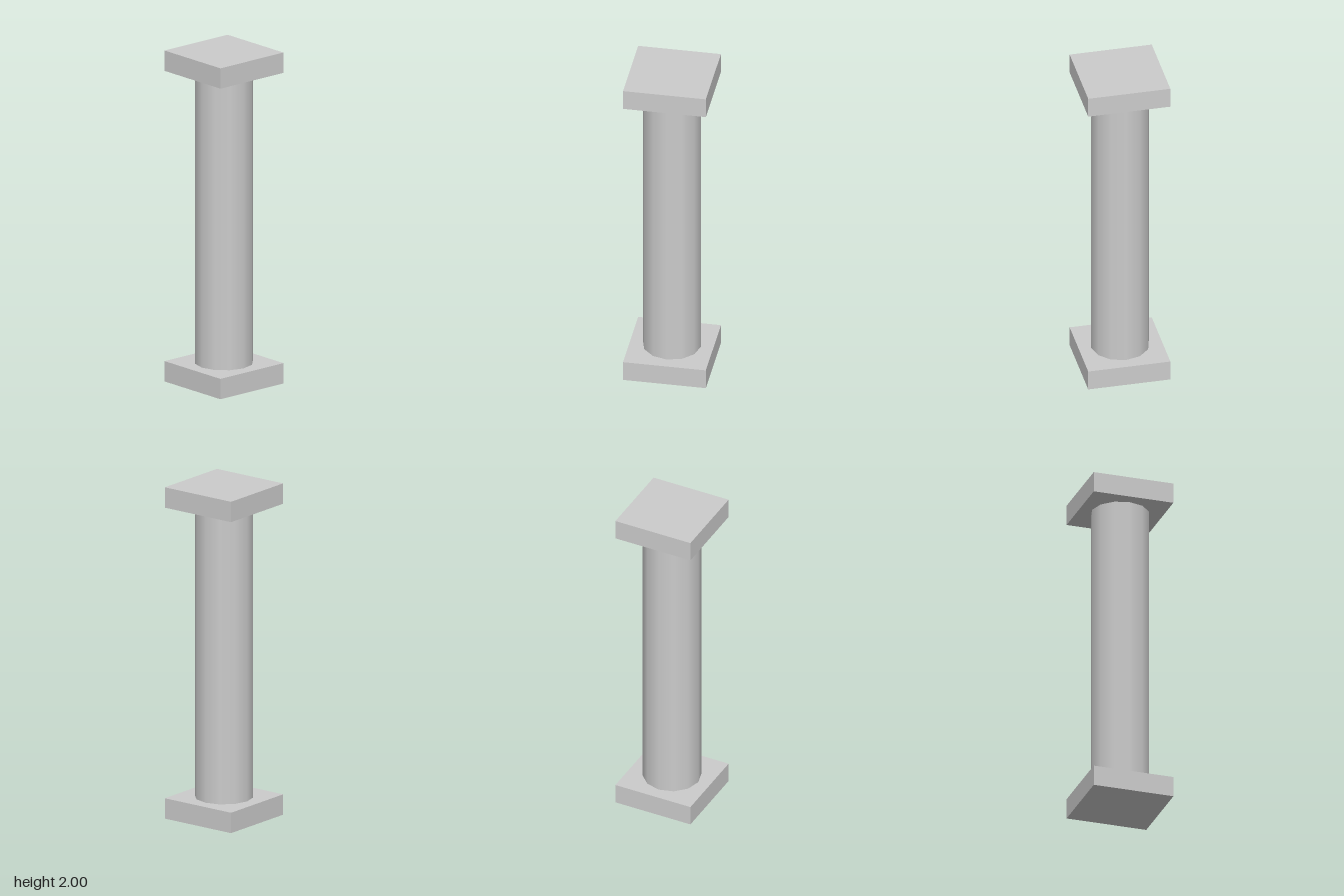
import * as THREE from 'three';

export function createModel() {
  const group = new THREE.Group();
  const material = new THREE.MeshStandardMaterial({ color: 0xcccccc });
  const height = 2, plateWidth = 0.488, plateHeight = 0.123, radius = 0.171;

  const add = (name, geometry, y) => {
    const mesh = new THREE.Mesh(geometry, material);
    mesh.name = name;
    mesh.position.y = y;
    group.add(mesh);
  };

  // Square plates at the foot and head of the column
  const plate = new THREE.BoxGeometry(plateWidth, plateHeight, plateWidth);
  add('base', plate, plateHeight / 2);
  add('capital', plate, height - plateHeight / 2);

  // Smooth-shaded twelve-sided shaft between the plates
  const shaft = new THREE.CylinderGeometry(radius, radius, height - 2 * plateHeight, 12, 1, true);
  add('shaft', shaft, height / 2);

  return group;
}
